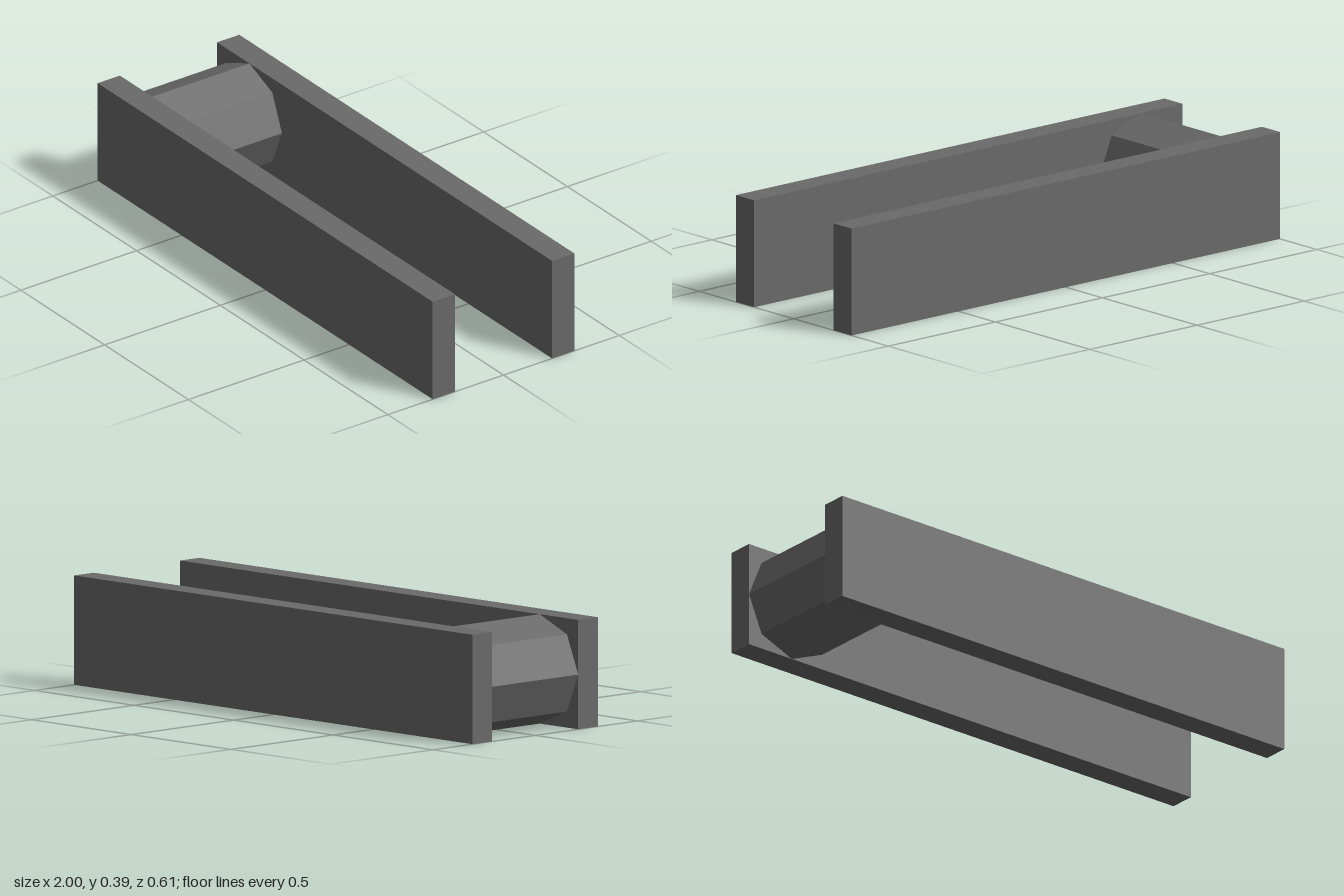
import * as THREE from 'three';

export function createModel() {
  const group = new THREE.Group();
  const material = new THREE.MeshStandardMaterial({ color: 0x6a6a6a, flatShading: true });

  const height = 0.387;
  const railInner = 0.21;
  const railOuter = 0.306;
  const radius = height / 2;

  // Two long parallel side rails
  for (const [name, side] of [['frontRail', 1], ['backRail', -1]]) {
    const rail = new THREE.Mesh(new THREE.BoxGeometry(2, height, railOuter - railInner), material);
    rail.name = name;
    rail.position.set(0, height / 2, side * (railInner + railOuter) / 2);
    group.add(rail);
  }

  // Octagonal roller spanning the rails at the -x end
  const roller = new THREE.Mesh(
    new THREE.CylinderGeometry(radius, radius, railInner * 2, 8).rotateX(Math.PI / 2),
    material
  );
  roller.name = 'roller';
  roller.position.set(-1 + radius, radius, 0);
  group.add(roller);

  return group;
}
